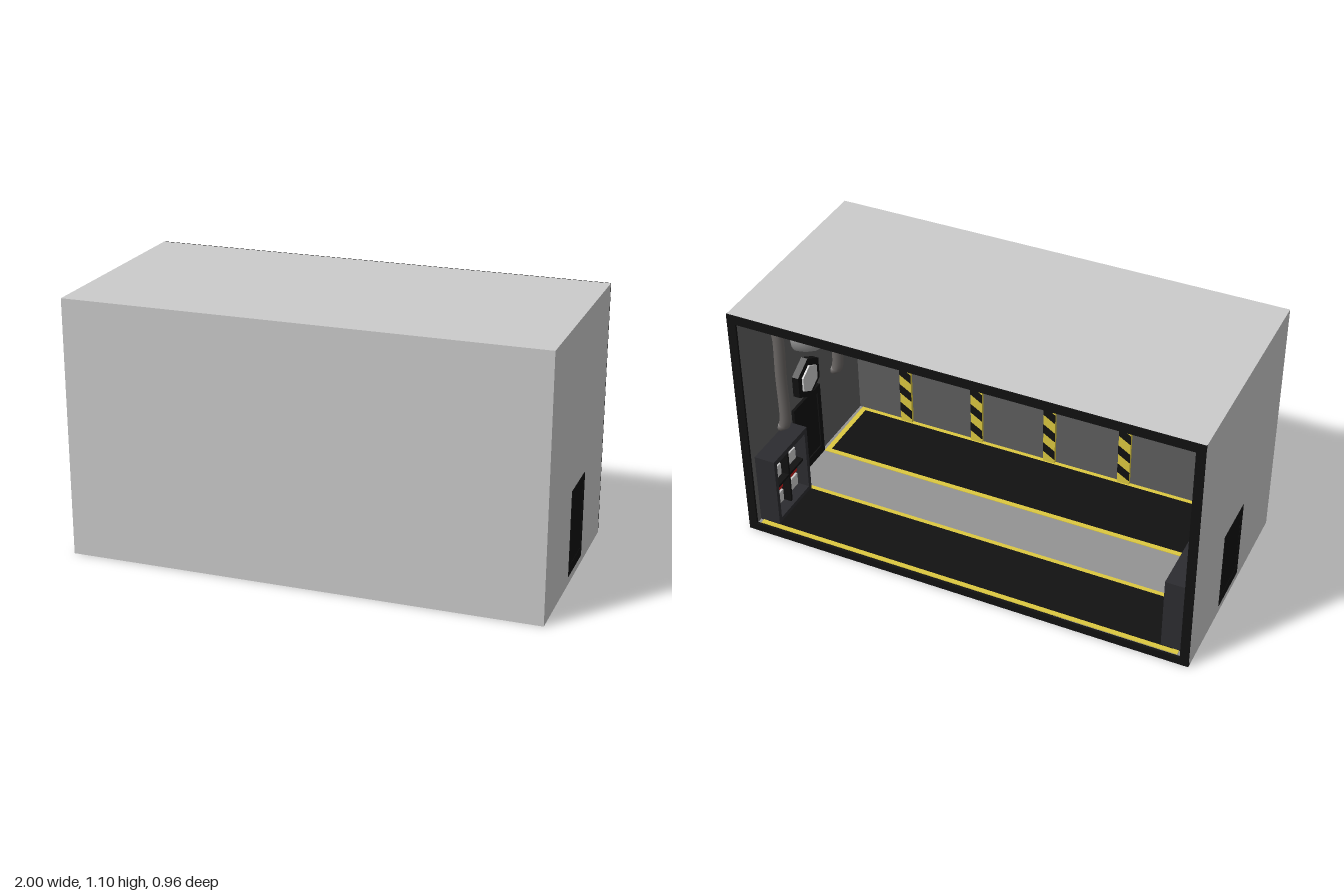
import * as THREE from 'three';

const mats = {};
const mat = (color, flat = false) => mats[color + '_' + flat] ??=
  new THREE.MeshStandardMaterial({ color, flatShading: flat });

const GREY = 0xcccccc, LINER = 0x5d5d5d, FLOOR = 0x939393, BLACK = 0x111111,
  YELLOW = 0xdcc840, STEEL = 0x2c2c30, RED = 0xc01818, WHITE = 0xe4e4e4;

export function createModel() {
  const root = new THREE.Group();

  const add = (parent, name, geo, color, flat) => {
    const m = new THREE.Mesh(geo, mat(color, flat));
    m.name = name;
    parent.add(m);
    return m;
  };
  // box given by its two extremes on each axis
  const box = (parent, name, color, x0, x1, y0, y1, z0, z1) => {
    const g = new THREE.BoxGeometry(Math.abs(x1 - x0), y1 - y0, z1 - z0);
    g.translate((x0 + x1) / 2, (y0 + y1) / 2, (z0 + z1) / 2);
    return add(parent, name, g, color);
  };
  const group = (parent, name) => {
    const g = new THREE.Group();
    g.name = name;
    parent.add(g);
    return g;
  };

  // Outer shell, open at the back
  const shell = group(root, 'shell');
  const W = 0.998, H = 1.1, Z = 0.48, zi = 0.44, xi = 0.96, yf = 0.036, yc = 1.06;
  box(shell, 'roof', GREY, -W, W, H - 0.02, H, -0.475, Z);
  box(shell, 'base', GREY, -W, W, 0, 0.02, -0.475, Z);
  box(shell, 'frontWall', GREY, -W, W, 0.02, H - 0.02, Z - 0.02, Z);
  for (const s of [-1, 1])
    box(shell, 'endWall', GREY, s * (W - 0.02), s * W, 0.02, H - 0.02, -0.475, Z - 0.02);

  // Inner lining
  box(shell, 'ceiling', LINER, -0.978, 0.978, yc, H - 0.02, -0.47, 0.46);
  box(shell, 'floor', FLOOR, -0.978, 0.978, 0.02, yf, -0.47, 0.46);
  box(shell, 'frontLining', LINER, -0.978, 0.978, yf, yc, zi, 0.46);
  for (const s of [-1, 1])
    box(shell, 'endLining', LINER, s * xi, s * 0.978, yf, yc, -0.47, zi);

  // Black rim around the opening
  const rim = new THREE.Shape([[-W, 0], [W, 0], [W, H], [-W, H]].map(p => new THREE.Vector2(...p)));
  rim.holes.push(new THREE.Path([[-xi, yf], [-xi, yc], [xi, yc], [xi, yf]].map(p => new THREE.Vector2(...p))));
  const rimGeo = new THREE.ExtrudeGeometry(rim, { depth: 0.012, bevelEnabled: false });
  rimGeo.translate(0, 0, -Z);
  add(shell, 'openingRim', rimGeo, BLACK);

  // Floor bays: yellow outline with a black field
  for (const [z0, z1] of [[-0.468, -0.16], [0.08, 0.438]]) {
    const bay = group(root, 'floorBay');
    box(bay, 'bayOutline', YELLOW, -0.945, 0.945, yf, yf + 0.003, z0, z1);
    box(bay, 'bayField', BLACK, -0.92, 0.92, yf, yf + 0.005, z0 + 0.022, z1 - 0.022);
  }

  // Hazard posts with slanted stripes
  for (let i = -2; i <= 2; i++) {
    const x = i * 0.355, hw = 0.028, zFace = 0.425;
    const post = group(root, 'hazardPost');
    box(post, 'post', YELLOW, x - hw, x + hw, yf, 0.45, zFace, zi);
    for (let k = 0; k < 4; k++) {
      const y = 0.06 + k * 0.1;
      const s = new THREE.Shape();
      s.moveTo(x - hw, y);
      s.lineTo(x + hw, y + 0.035);
      s.lineTo(x + hw, y + 0.08);
      s.lineTo(x - hw, y + 0.045);
      const g = new THREE.ExtrudeGeometry(s, { depth: 0.003, bevelEnabled: false });
      g.translate(0, 0, zFace - 0.003);
      add(post, 'stripe', g, BLACK);
    }
  }

  // Long dark rack on the front wall
  const rack = group(root, 'wallRack');
  const rx = 0.785, r0 = 0.445, r1 = 0.98, rz = 0.4;
  box(rack, 'rackBack', 0x0c0c0c, -rx, rx, r0, r1, 0.43, zi);
  box(rack, 'rackBottom', BLACK, -rx, rx, r0, r0 + 0.03, rz, 0.43);
  box(rack, 'rackTop', BLACK, -rx, rx, r1 - 0.03, r1, rz, 0.43);
  for (const s of [-1, 1])
    box(rack, 'rackSide', BLACK, s * (rx - 0.03), s * rx, r0 + 0.03, r1 - 0.03, rz, 0.43);
  for (let i = -4; i <= 4; i++) {
    const x = i * 0.155;
    box(rack, 'rackBar', 0x181818, x - 0.012, x + 0.012, r0 + 0.03, r1 - 0.03, rz + 0.008, 0.43);
  }
  for (const x of [-0.56, 0.06, 0.68])
    box(rack, 'indicator', 0x8a4a20, x - 0.02, x + 0.02, 0.51, 0.55, 0.418, 0.43);

  // Fittings of each end wall
  for (const s of [-1, 1]) {
    const end = group(root, s > 0 ? 'leftEndFittings' : 'rightEndFittings');
    const V = (x, y, z) => new THREE.Vector3(s * x, y, z);

    // Door seen on both faces of the wall, with a raised frame
    const door = group(end, 'door');
    box(door, 'doorLeaf', BLACK, s * 0.952, s * 0.999, yf, 0.403, -0.138, 0.085);
    for (const [x0, x1] of [[0.947, 0.952], [0.999, 1]]) {
      box(door, 'doorHead', BLACK, s * x0, s * x1, 0.37, 0.403, -0.138, 0.085);
      box(door, 'doorSill', BLACK, s * x0, s * x1, yf, 0.08, -0.138, 0.085);
      box(door, 'doorJamb', BLACK, s * x0, s * x1, 0.08, 0.37, -0.138, -0.112);
      box(door, 'doorJamb', BLACK, s * x0, s * x1, 0.08, 0.37, 0.059, 0.085);
    }

    // Hexagonal lamp above the door
    const lamp = group(end, 'hexLamp');
    for (const [name, r, d, c] of [['lampFrame', 0.1, 0.03, BLACK], ['lampGlass', 0.066, 0.038, WHITE]]) {
      const g = new THREE.CylinderGeometry(r, r, d, 6);
      g.rotateY(Math.PI / 2);
      g.rotateZ(Math.PI / 2);
      g.translate(s * (xi - d / 2), 0.513, -0.025);
      add(lamp, name, g, c, true);
    }

    // Upright pipes that turn into the wall
    for (const z of [-0.23, 0.225]) {
      const path = new THREE.CatmullRomCurve3([
        V(0.97, 0.39, z), V(0.945, 0.395, z), V(0.935, 0.42, z), V(0.935, 0.65, z),
        V(0.935, 0.86, z), V(0.945, 0.885, z), V(0.97, 0.89, z)]);
      add(end, 'wallPipe', new THREE.TubeGeometry(path, 32, 0.025, 10), 0x6a6664);
    }

    // Large duct bending from ceiling to wall
    const duct = new THREE.QuadraticBezierCurve3(V(0.84, 1.07, 0), V(0.84, 0.745, 0), V(0.97, 0.745, 0));
    add(end, 'duct', new THREE.TubeGeometry(duct, 16, 0.1, 16), 0xa0a0a0);

    // Supply cabinet with shelves and boxes
    const cab = group(end, 'cabinet');
    const c0 = 0.867, za = -0.445, zb = -0.175, top = 0.372;
    box(cab, 'cabinetBack', STEEL, s * 0.945, s * xi, yf, top, za, zb);
    box(cab, 'cabinetSide', STEEL, s * c0, s * 0.945, yf, top, za, za + 0.02);
    box(cab, 'cabinetSide', STEEL, s * c0, s * 0.945, yf, top, zb - 0.02, zb);
    box(cab, 'cabinetTop', STEEL, s * c0, s * 0.945, top - 0.025, top, za + 0.02, zb - 0.02);
    box(cab, 'cabinetBottom', STEEL, s * c0, s * 0.945, yf, yf + 0.025, za + 0.02, zb - 0.02);
    box(cab, 'divider', BLACK, s * 0.885, s * 0.945, yf + 0.025, top - 0.025, -0.316, -0.304);
    const y0 = yf + 0.025, step = (top - 0.025 - y0) / 4;
    for (let r = 0; r < 4; r++) {
      const y = y0 + r * step;
      if (r === 2)
        box(cab, 'shelf', BLACK, s * 0.885, s * 0.945, y - 0.006, y + 0.006, za + 0.02, zb - 0.02);
      for (const z of [-0.37, -0.25])
        box(cab, 'supplyBox', r % 2 ? RED : WHITE, s * 0.915, s * 0.945,
          y + 0.007, y + step - 0.007, z - 0.046, z + 0.046);
    }
  }
  return root;
}
